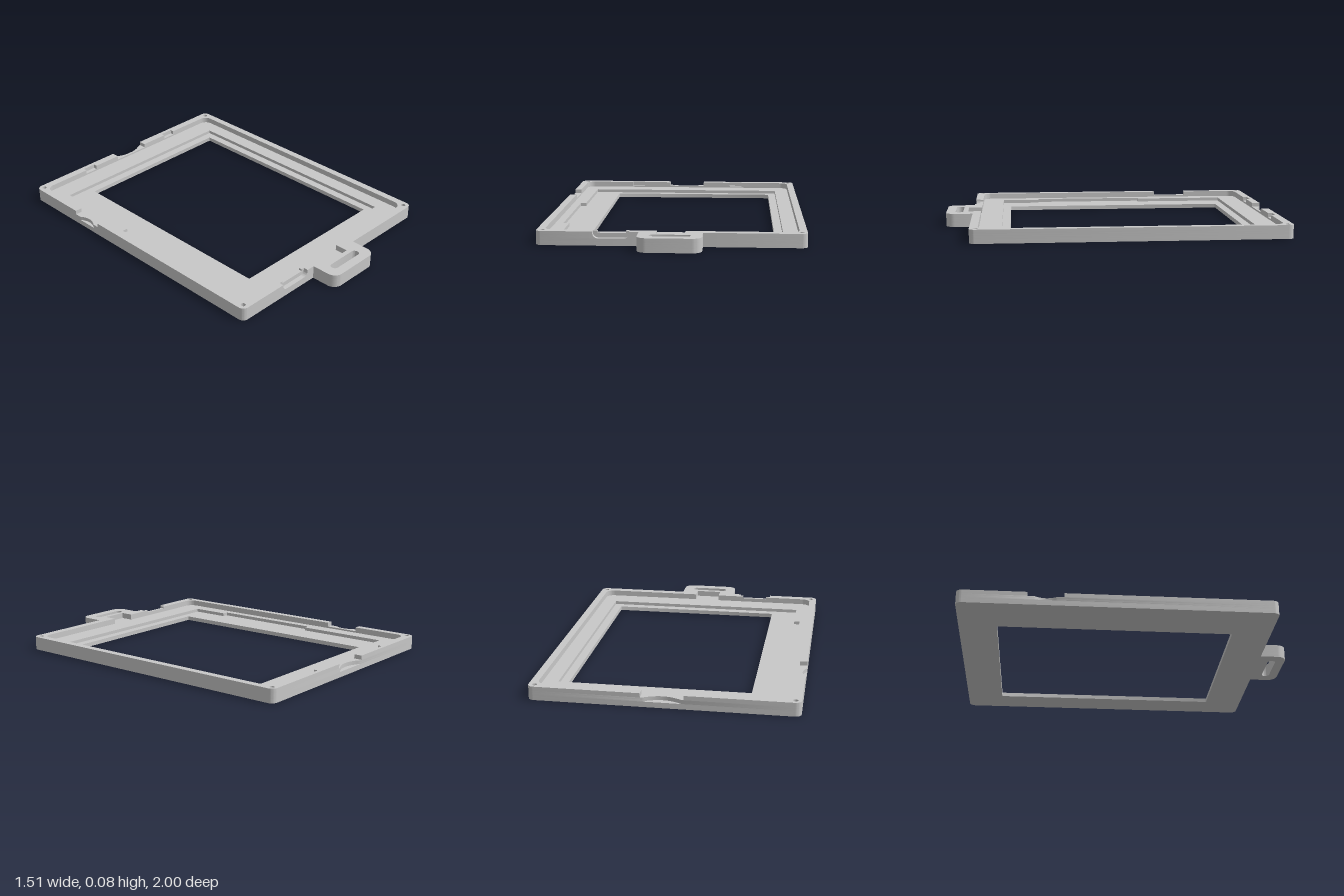
import * as THREE from 'three';
import { toCreasedNormals } from 'three/addons/utils/BufferGeometryUtils.js';

const K = 0.5523;

// Closed counter-clockwise outline from [x, z, cornerRadius] points
function outline(corners, Type = THREE.Shape) {
  const path = new Type();
  const clockwise = THREE.ShapeUtils.isClockWise(corners.map(([x, z]) => new THREE.Vector2(x, -z)));
  const points = clockwise ? [...corners].reverse() : corners;
  const n = points.length;
  points.forEach(([x, z, r = 0], i) => {
    const p = new THREE.Vector2(x, -z);
    const toward = (q, d) => new THREE.Vector2(q[0], -q[1]).sub(p).setLength(d).add(p);
    const prev = points[(i + n - 1) % n], next = points[(i + 1) % n];
    const a = r ? toward(prev, r) : p;
    if (i === 0) path.moveTo(a.x, a.y);
    else path.lineTo(a.x, a.y);
    if (r) {
      const b = toward(next, r);
      const c1 = a.clone().lerp(p, K), c2 = b.clone().lerp(p, K);
      path.bezierCurveTo(c1.x, c1.y, c2.x, c2.y, b.x, b.y);
    }
  });
  path.closePath();
  return path;
}

const rect = (x0, x1, z0, z1, r = 0) => [[x0, z0, r], [x1, z0, r], [x1, z1, r], [x0, z1, r]];

// Bowed finger scoop: positions along an edge with their depth
function scoop(from, to, depth, place) {
  return Array.from({ length: 15 }, (_, i) => {
    const t = i / 14;
    return place(from + (to - from) * t, depth * 4 * t * (1 - t));
  });
}

export function createModel() {
  const model = new THREE.Group();
  model.name = 'bezelFrame';
  const grey = new THREE.MeshStandardMaterial({ color: 0xc8c8c8 });
  grey.name = 'grey plastic';

  const slab = (name, points, holes, y0, y1) => {
    const shape = outline(points);
    shape.holes = holes;
    const geo = new THREE.ExtrudeGeometry(shape, { depth: y1 - y0, bevelEnabled: false, curveSegments: 10 });
    geo.rotateX(-Math.PI / 2).translate(0, y0, 0);
    const mesh = new THREE.Mesh(toCreasedNormals(geo, 0.6), grey);
    mesh.name = name;
    model.add(mesh);
  };

  // Openings
  const hole = (points) => outline(points, THREE.Path);
  const slot = () => hole(rect(-0.115, 0.115, 0.898, 0.945, 0.0234));
  const screw = (x, z) => new THREE.Path().absarc(x, -z, 0.014, 0, Math.PI * 2);
  const screws = () => [screw(-0.72, -0.967), screw(0.72, -0.967), screw(-0.72, 0.803), screw(0.72, 0.803)];
  const windowHole = () => hole(rect(-0.468, 0.577, -0.776, 0.608, 0.005));
  const pocket = () => hole([
    [-0.63, -0.825], [0.625, -0.825], [0.625, 0.658], [-0.63, 0.658],
    [-0.63, 0.42], [-0.665, 0.42], [-0.665, -0.263], [-0.63, -0.263],
  ]);
  const tabNotch = [[-0.08, 0.79], [-0.08, 0.87], [0.08, 0.87], [0.08, 0.79]];
  const recess = () => hole([
    [-0.712, -0.952, 0.05], [-0.712, 0.79, 0.05], ...tabNotch, [0.712, 0.79, 0.05], [0.712, -0.952, 0.05],
  ]);

  // Outer edge of the frame with its hanging tab
  const tab = [[0.178, 0.838], [0.178, 1, 0.055], [-0.178, 1, 0.055], [-0.178, 0.838]];
  const port = [[-0.23, 0.838], [-0.23, 0.81], [-0.435, 0.81], [-0.435, 0.838]];
  const outer = (scooped, withPort) => [
    [-0.755, -1, 0.035],
    ...(scooped ? scoop(-0.11, 0.11, 0.035, (x, d) => [x, -1 + d]) : []),
    [0.755, -1, 0.035], [0.755, 0.838, 0.035],
    ...tab,
    ...(withPort ? port : []),
    [-0.755, 0.838, 0.035],
    ...(scooped ? scoop(-0.43, -0.56, 0.022, (z, d) => [-0.755 + d, z]) : []),
  ];

  // Stacked floor, ledge and lower rim
  slab('floor', outer(false, false), [windowHole(), slot()], 0, 0.025);
  slab('pocketBase', outer(false, false), [pocket(), slot()], 0.025, 0.032);
  slab('pocketWall', outer(true, false), [pocket(), slot(), ...screws()], 0.032, 0.042);
  slab('ledge', outer(true, true), [pocket(), slot(), ...screws()], 0.042, 0.045);
  slab('lowerRim', outer(true, true), [recess(), slot(), ...screws()], 0.045, 0.055);

  // Upper rim, interrupted by the finger notches and the port
  const y0 = 0.055, y1 = 0.08;
  slab('rimBackRight', [
    [-0.12, -1], [-0.755, -1, 0.035], [-0.755, -0.6], [-0.712, -0.6], [-0.712, -0.952, 0.05],
    [-0.39, -0.952], [-0.39, -0.977], [-0.305, -0.977], [-0.305, -0.952], [-0.12, -0.952],
  ], [screw(-0.72, -0.967)], y0, y1);
  slab('rimLeftAndTab', [
    [0.12, -1], [0.755, -1, 0.035], [0.755, 0.838, 0.035], ...tab,
    [-0.23, 0.838], [-0.23, 0.81], [-0.25, 0.81], [-0.25, 0.79], ...tabNotch,
    [0.712, 0.79, 0.05], [0.712, -0.952, 0.05],
    [0.39, -0.952], [0.39, -0.977], [0.305, -0.977], [0.305, -0.952], [0.12, -0.952],
  ], [slot(), screw(0.72, -0.967), screw(0.72, 0.803)], y0, y1);
  slab('rimFrontRight', [
    [-0.435, 0.838], [-0.755, 0.838, 0.035], [-0.755, -0.39], [-0.712, -0.39],
    [-0.712, 0.79, 0.05], [-0.41, 0.79], [-0.41, 0.81], [-0.435, 0.81],
  ], [screw(-0.72, 0.803)], y0, y1);
  slab('portSill', rect(-0.41, -0.25, 0.79, 0.81), [], y0, 0.068);

  // Rounded lower corners of the port recess
  for (const [x, s] of [[-0.435, 1], [-0.23, -1]]) {
    const r = 0.03, y = 0.042;
    const fillet = new THREE.Shape();
    fillet.moveTo(x, y);
    fillet.lineTo(x + s * r, y);
    fillet.bezierCurveTo(x + s * r * (1 - K), y, x, y + r * (1 - K), x, y + r);
    fillet.closePath();
    const geo = new THREE.ExtrudeGeometry(fillet, { depth: 0.028, bevelEnabled: false, curveSegments: 8 });
    const mesh = new THREE.Mesh(toCreasedNormals(geo.translate(0, 0, 0.81), 0.6), grey);
    mesh.name = 'portCorner';
    model.add(mesh);
  }
  return model;
}
